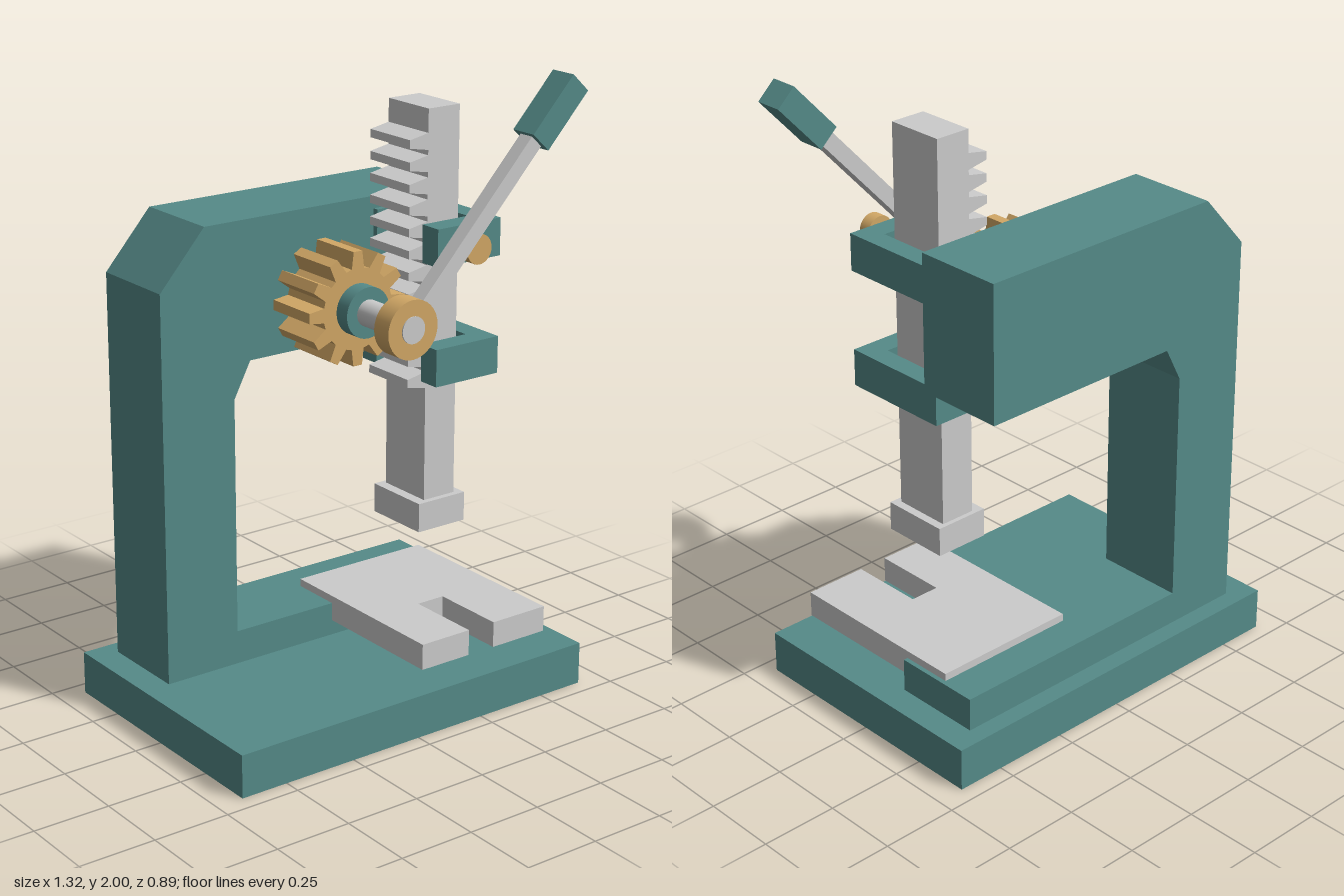
import * as THREE from 'three';

export function createModel() {
  const press = new THREE.Group();
  press.name = 'arborPress';

  const steel = new THREE.MeshStandardMaterial({ color: 0xcccccc });
  const paint = new THREE.MeshStandardMaterial({ color: 0x558a88 });
  const brass = new THREE.MeshStandardMaterial({ color: 0xd2a866 });

  const add = (name, geometry, material, parent = press) => {
    const mesh = new THREE.Mesh(geometry, material);
    mesh.name = name;
    parent.add(mesh);
    return mesh;
  };
  // Box given by its limits on each axis
  const box = (name, [x0, x1], [y0, y1], [z0, z1], material, parent) => {
    const g = new THREE.BoxGeometry(x1 - x0, y1 - y0, z1 - z0);
    g.translate((x0 + x1) / 2, (y0 + y1) / 2, (z0 + z1) / 2);
    return add(name, g, material, parent);
  };
  // Cylinder lying along z
  const rod = (name, x, y, r, z0, z1, material) => {
    const g = new THREE.CylinderGeometry(r, r, z1 - z0, 32);
    g.rotateX(Math.PI / 2).translate(x, y, (z0 + z1) / 2);
    return add(name, g, material);
  };
  const extrude = (points, depth) => new THREE.ExtrudeGeometry(
    new THREE.Shape(points.map(([x, y]) => new THREE.Vector2(x, y))),
    { depth, bevelEnabled: false });
  // Outline in x and z, raised from y0 to y1
  const slab = (name, points, y0, y1, material) =>
    add(name, extrude(points, y1 - y0).rotateX(Math.PI / 2).translate(0, y1, 0), material);

  // Base and C-shaped frame
  box('base', [-0.66, 0.66], [0, 0.14], [-0.445, 0.445], paint);
  add('frame', extrude([
    [-0.57, 0.14], [0.57, 0.14], [0.57, 0.25], [-0.31, 0.25], [-0.31, 1.02],
    [-0.25, 1.135], [0.465, 1.135], [0.465, 1.58], [-0.41, 1.58], [-0.57, 1.4],
  ], 0.3).translate(0, 0, -0.385), paint);

  // Slotted work plate
  slab('workPlate', [
    [0.06, -0.26], [0.555, -0.26], [0.555, 0.385], [0.345, 0.385],
    [0.345, 0.13], [0.245, 0.13], [0.245, 0.385], [0.06, 0.385],
  ], 0.19, 0.275, steel);

  // Guides around the ram, open on the rack side
  const guide = [
    [0.22, -0.135], [0.465, -0.135], [0.465, 0.235], [0.22, 0.235],
    [0.22, 0.16], [0.396, 0.16], [0.396, -0.065], [0.22, -0.065],
  ];
  slab('lowerGuide', guide, 1.04, 1.16, paint);
  slab('upperGuide', guide, 1.42, 1.54, paint);

  // Ram with foot and rack teeth
  box('ram', [0.25, 0.37], [0.63, 1.89], [-0.05, 0.145], steel);
  box('ramFoot', [0.215, 0.398], [0.54, 0.635], [-0.065, 0.165], steel);
  const rack = new THREE.Group();
  rack.name = 'rack';
  press.add(rack);
  const rackTooth = extrude([[0.255, -0.027], [0.255, 0.027], [0.18, 0.013], [0.18, -0.013]], 0.195);
  for (let i = 0; i < 12; i++) {
    add('rackTooth', rackTooth, steel, rack).position.set(0, 1.035 + i * 0.0686, -0.05);
  }

  // Pinion gear: four outline points per tooth
  const cx = -0.01, cy = 1.31, teeth = 12;
  const outline = [];
  for (let i = 0; i < teeth; i++) {
    const a = (i / teeth) * Math.PI * 2;
    for (const [r, d] of [[0.128, -0.18], [0.18, -0.09], [0.18, 0.09], [0.128, 0.18]]) {
      outline.push([r * Math.cos(a + d), r * Math.sin(a + d)]);
    }
  }
  add('pinion', extrude(outline, 0.185), brass).position.set(cx, cy, -0.045);

  // Shaft, bosses and lever hub
  rod('rearBoss', cx, cy, 0.088, -0.1, -0.045, paint);
  rod('frontBoss', cx, cy, 0.08, 0.14, 0.192, paint);
  rod('shaft', cx, cy, 0.042, -0.1, 0.412, steel);
  rod('leverHub', cx, cy, 0.092, 0.34, 0.408, brass);

  // Lever and grip, laid along x and then tilted
  const lever = new THREE.Group();
  lever.name = 'lever';
  lever.position.set(cx, cy, 0.376);
  lever.rotation.z = THREE.MathUtils.degToRad(47);
  box('leverBar', [0.085, 0.7], [-0.025, 0.025], [-0.026, 0.026], steel, lever);
  box('grip', [0.682, 0.904], [-0.041, 0.041], [-0.046, 0.046], paint, lever);
  press.add(lever);

  // Clamp screw through the upper guide
  rod('clampScrew', 0.305, 1.485, 0.026, -0.075, 0.3, brass);
  rod('clampScrewHead', 0.305, 1.485, 0.047, 0.288, 0.328, brass);

  return press;
}
